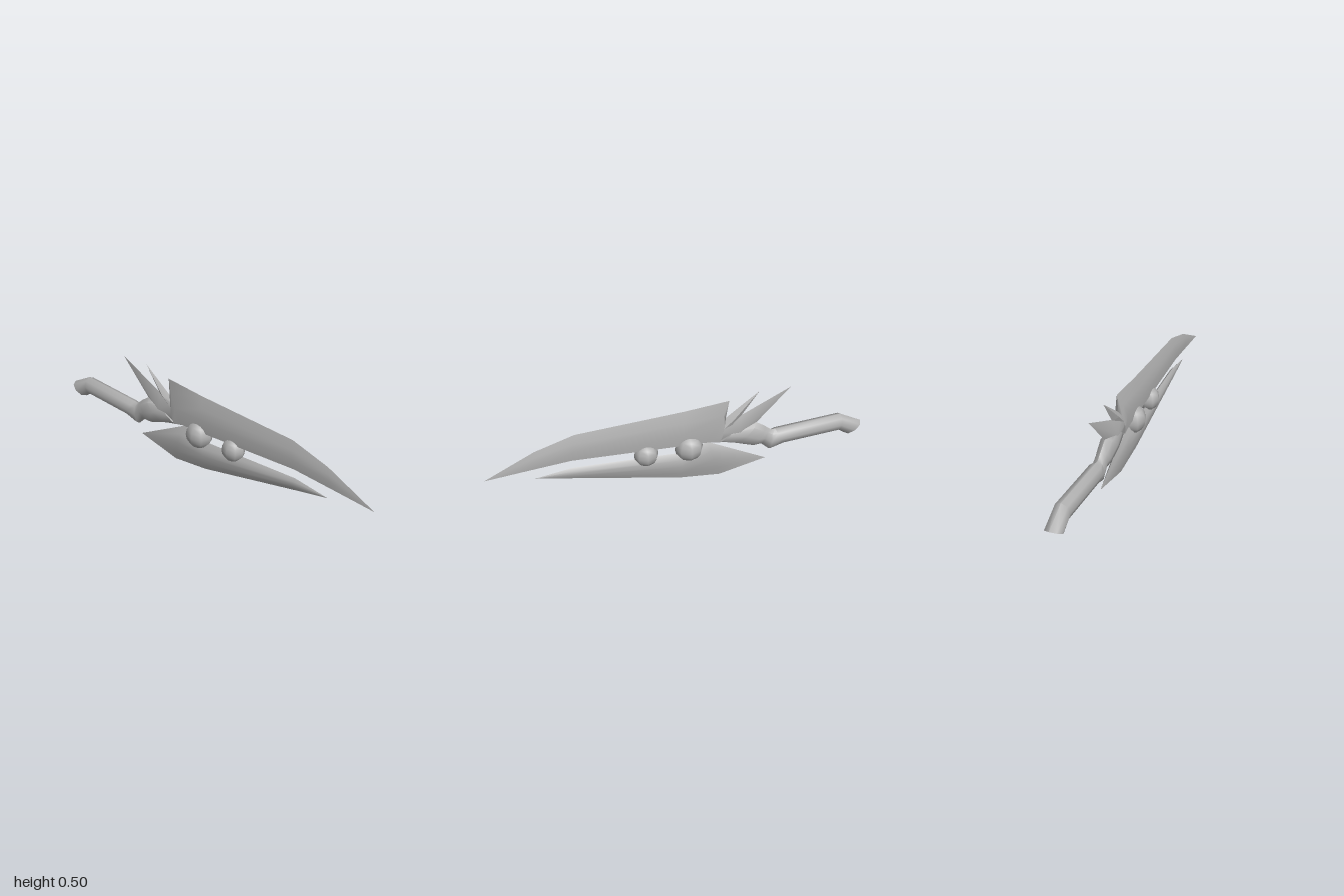
import * as THREE from 'three';
import { toCreasedNormals } from 'three/addons/utils/BufferGeometryUtils.js';

const steel = new THREE.MeshStandardMaterial({ color: 0xb0b0b0 });
steel.name = 'steel grey';

// Half profiles from top to bottom: [fraction of height, fraction of half width]
const upperProfile = [[0, 0], [0.3, 0.7], [0.6, 1], [0.95, 0.75], [1, 0]];
const lowerProfile = [[0, 0], [0.2, 0.9], [0.45, 1], [0.75, 0.6], [1, 0]];
const spikeProfile = [[0, 0], [0.5, 1], [1, 0]];
const gripProfile = [0, 1, 2, 3, 4].map((i) => {
  const a = (i * Math.PI) / 4;
  return [(1 - Math.cos(a)) / 2, Math.sin(a)];
});

// Joins mirrored cross-sections, each [topZ, topY, bottomZ, bottomY, halfWidth], from front to back
function loft(name, profile, sections) {
  const mirrored = profile.slice(1, -1).reverse().map(([s, k]) => [s, -k]);
  const ring = [...profile, ...mirrored];
  const n = ring.length;
  const pos = [];
  const idx = [];
  for (const [tz, ty, bz, by, w] of sections) {
    for (const [s, k] of ring) pos.push(k * w, ty + (by - ty) * s, tz + (bz - tz) * s);
  }
  const last = (sections.length - 1) * n;
  for (let i = 0; i < last; i += n) {
    for (let j = 0; j < n; j++) {
      const k = (j + 1) % n;
      idx.push(i + j, i + k, i + n + j, i + k, i + n + k, i + n + j);
    }
  }
  for (let j = 1; j < n - 1; j++) {
    idx.push(0, j + 1, j, last, last + j, last + j + 1);
  }
  const geo = new THREE.BufferGeometry();
  geo.setAttribute('position', new THREE.Float32BufferAttribute(pos, 3));
  geo.setIndex(idx);
  const mesh = new THREE.Mesh(toCreasedNormals(geo, 0.9), steel);
  mesh.name = name;
  return mesh;
}

export function createModel() {
  const model = new THREE.Group();
  model.name = 'twinBladedSword';

  // Long upper blade with a raised rear corner
  model.add(loft('upperBlade', upperProfile, [
    [1, 0.225, 1, 0.225, 0],
    [0.743, 0.353, 0.77, 0.247, 0.012],
    [0.54, 0.417, 0.57, 0.267, 0.022],
    [-0.02, 0.45, 0, 0.24, 0.025],
    [-0.25, 0.472, -0.14, 0.235, 0.029],
    [-0.235, 0.37, -0.2, 0.225, 0.028],
  ]));

  // Swept spikes behind the upper blade
  model.add(loft('shortSpike', spikeProfile, [
    [-0.13, 0.31, -0.24, 0.25, 0.02],
    [-0.235, 0.37, -0.315, 0.365, 0.022],
    [-0.41, 0.505, -0.41, 0.505, 0],
  ]));
  model.add(loft('longSpike', spikeProfile, [
    [-0.18, 0.37, -0.14, 0.235, 0.026],
    [-0.315, 0.37, -0.3, 0.198, 0.028],
    [-0.577, 0.5, -0.577, 0.5, 0],
  ]));

  // Lower blade
  model.add(loft('lowerBlade', lowerProfile, [
    [0.754, 0.187, 0.754, 0.187, 0],
    [0.567, 0.216, 0.56, 0.147, 0.015],
    [0, 0.193, 0, 0.027, 0.024],
    [-0.14, 0.235, -0.21, 0.005, 0.025],
    [-0.465, 0.064, -0.465, 0.064, 0],
  ]));

  // Stepped collar, grip and bent pommel
  model.add(loft('handle', gripProfile, [
    [-0.3, 0.31, -0.2, 0.225, 0.026],
    [-0.4, 0.312, -0.28, 0.202, 0.042],
    [-0.45, 0.278, -0.38, 0.166, 0.036],
    [-0.465, 0.264, -0.43, 0.171, 0.032],
    [-0.49, 0.246, -0.48, 0.123, 0.034],
    [-0.51, 0.247, -0.556, 0.155, 0.042],
    [-0.877, 0.273, -0.866, 0.176, 0.042],
    [-1, 0.208, -0.91, 0.144, 0.042],
  ]));

  // Faceted gems joining the two blades
  for (const [name, z, r] of [['frontGem', 0.187, 0.064], ['rearGem', -0.04, 0.075]]) {
    const gem = new THREE.Mesh(new THREE.SphereGeometry(r, 8, 8), steel);
    gem.name = name;
    gem.scale.x = 0.88;
    gem.position.set(0, 0.222, z);
    model.add(gem);
  }

  return model;
}
